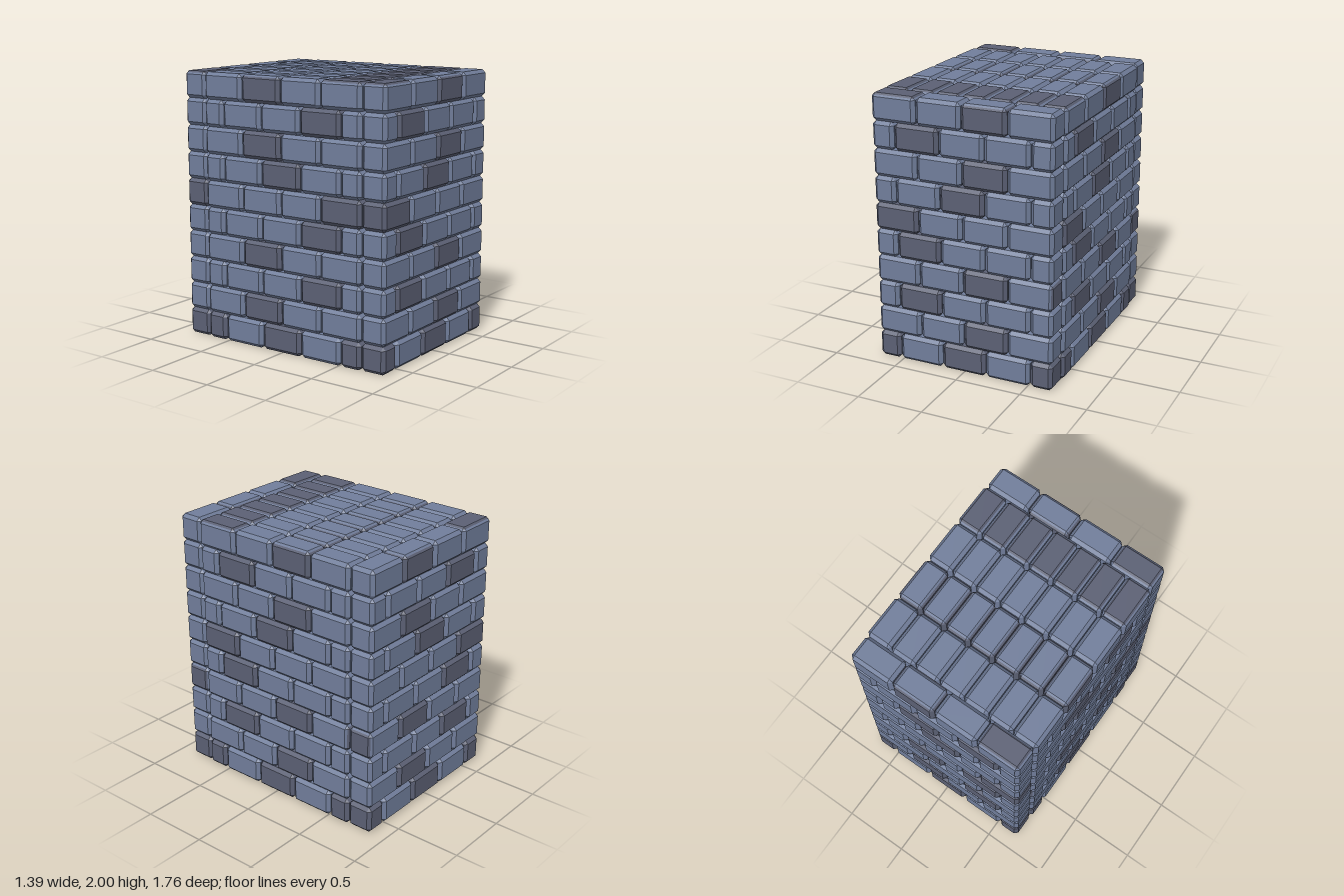
import * as THREE from 'three';

const LENGTH = 1.38, ROW = 0.2, ROWS = 10, THICK = 0.195, BEVEL = 0.025, GAP = 0.005;
const PITCH = LENGTH / 4;

// Dark bricks of each course, bottom to top, counted from the wall's -x end
const DARK_FACES = [[0, 2, 4], [2], [1], [2], [1], [0], [2], [2], [1], [2]];
const DARK_RIGHT_ENDS = [0, 3];
const DARK_LEFT_ENDS = [0, 5];

// Box with every edge and corner cut off
function chamferedBrick(width) {
  const half = [width / 2, ROW / 2, THICK / 2];
  const geometry = new THREE.BoxGeometry(width, ROW, THICK, 3, 3, 3);
  const position = geometry.attributes.position;
  const inset = [0, 0, BEVEL / 2, BEVEL * 2 / 3];
  for (let i = 0; i < position.count; i++) {
    const p = [position.getX(i), position.getY(i), position.getZ(i)];
    const outer = p.map((v, k) => Math.abs(v) > half[k] * 0.9);
    const cut = inset[outer.filter(Boolean).length];
    const q = p.map((v, k) => Math.sign(v) * (half[k] - (outer[k] ? cut : BEVEL)));
    position.setXYZ(i, ...q);
  }
  geometry.computeVertexNormals();
  return geometry;
}

export function createModel() {
  const light = new THREE.MeshStandardMaterial({ color: 0x717e9b, flatShading: true });
  const dark = new THREE.MeshStandardMaterial({ color: 0x5b6074, flatShading: true });
  const fullBrick = chamferedBrick(PITCH - GAP);
  const halfBrick = chamferedBrick(PITCH / 2 - GAP);

  // One wall, one brick thick, running along x in running bond
  function makeWall(name) {
    const wall = new THREE.Group();
    wall.name = name;
    for (let row = 0; row < ROWS; row++) {
      const sizes = row % 2 ? [1, 1, 1, 1] : [0.5, 1, 1, 1, 0.5];
      // The uppermost course is laid with whole bricks
      let x = -LENGTH / 2;
      sizes.forEach((size, i) => {
        const tone = DARK_FACES[row].includes(i) ? dark : light;
        const faces = Array(6).fill(tone);
        if (i === sizes.length - 1) faces[0] = DARK_RIGHT_ENDS.includes(row) ? dark : light;
        if (i === 0) faces[1] = DARK_LEFT_ENDS.includes(row) ? dark : light;
        if (row === ROWS - 1) faces[2] = i === 0 ? dark : light;
        const brick = new THREE.Mesh(size === 1 ? fullBrick : halfBrick, faces);
        brick.name = 'brick';
        brick.position.set(x + size * PITCH / 2, ROW * (row + 0.5), 0);
        wall.add(brick);
        x += size * PITCH;
      });
    }
    return wall;
  }

  const model = new THREE.Group();
  model.name = 'brickBlock';

  // Front and back walls
  for (const [name, z] of [['frontWall', 0.785], ['backWall', -0.785]]) {
    const wall = makeWall(name);
    wall.position.z = z;
    model.add(wall);
  }

  // Seven walls side by side fill the body between them
  for (let i = -3; i <= 3; i++) {
    const name = i === 3 ? 'leftWall' : i === -3 ? 'rightWall' : 'coreWall';
    const wall = makeWall(name);
    wall.rotation.y = Math.PI / 2;
    wall.position.x = i * 0.2;
    model.add(wall);
  }
  return model;
}
